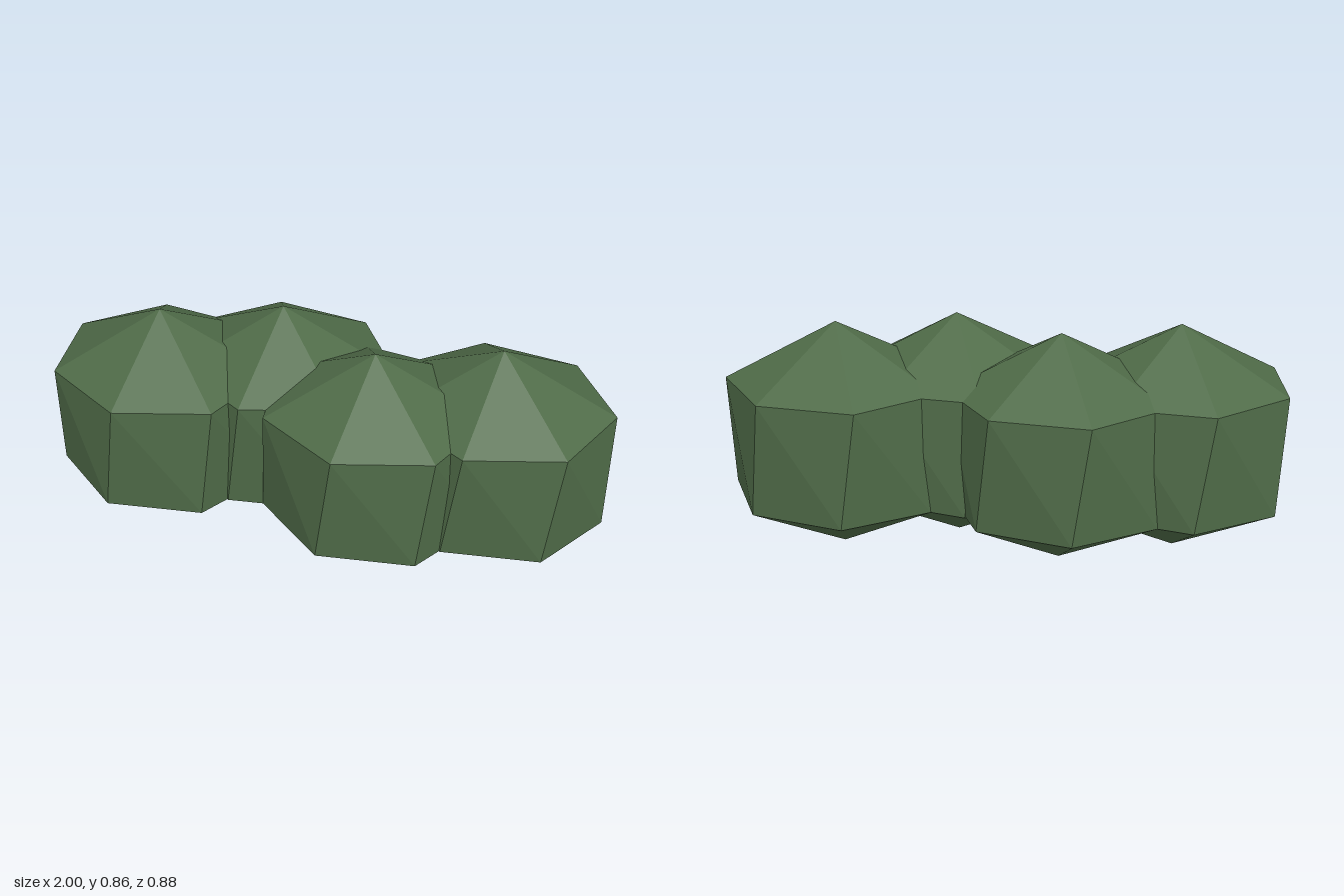
import * as THREE from 'three';

// Faceted seven-sided clump: two rings, with the upper ring twisted slightly
function clumpGeometry() {
  const geo = new THREE.SphereGeometry(1, 7, 3).rotateY(Math.PI);
  const pos = geo.attributes.position;
  const twist = -0.15;
  const v = new THREE.Vector3();
  for (let i = 0; i < pos.count; i++) {
    v.fromBufferAttribute(pos, i);
    if (v.y > 0) v.applyAxisAngle(new THREE.Vector3(0, 1, 0), -twist);
    pos.setXYZ(i, v.x * 0.468, v.y * 0.43 + 0.43, v.z * 0.416);
  }
  const flat = geo.toNonIndexed();
  flat.computeVertexNormals();
  return flat;
}

export function createModel() {
  const group = new THREE.Group();
  group.name = 'hedge';
  const foliage = new THREE.MeshStandardMaterial({ color: 0x4f6b48, flatShading: true });
  foliage.name = 'foliage green';
  const geo = clumpGeometry();

  // Four overlapping clumps, staggered front and back
  for (let i = 0; i < 4; i++) {
    const clump = new THREE.Mesh(geo, foliage);
    clump.name = `leafClump${i + 1}`;
    clump.position.set(-0.613 + i * 0.4027, 0, i % 2 ? -0.088 : 0.082);
    group.add(clump);
  }
  return group;
}
